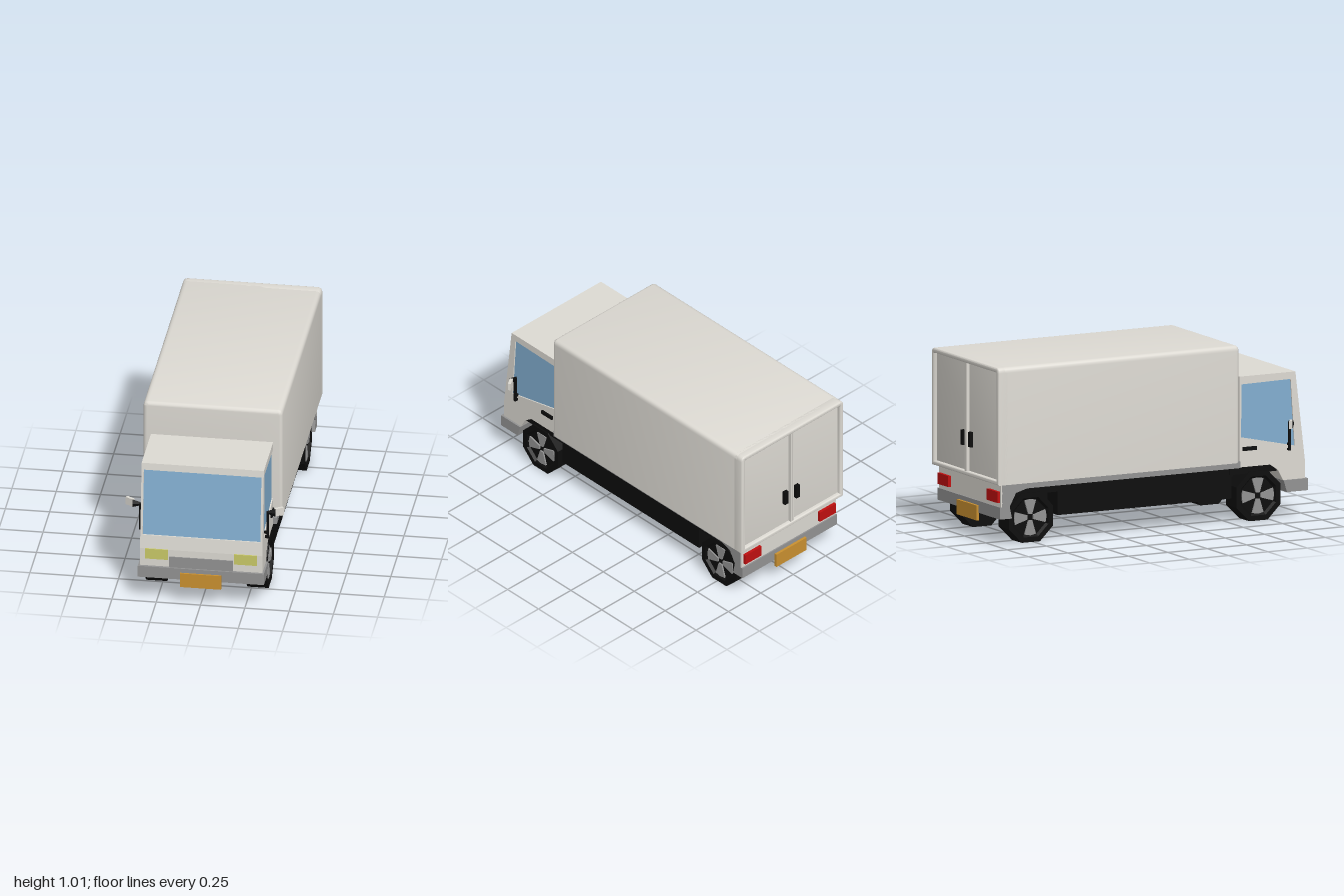
import * as THREE from 'three';
import { toCreasedNormals } from 'three/addons/utils/BufferGeometryUtils.js';

const paint = (color, flatShading = false) => new THREE.MeshStandardMaterial({ color, flatShading });
const mats = {
  body: paint(0xdddad3), grey: paint(0x939393), black: paint(0x0c0c0c, true), glass: paint(0x82aed0),
  yellow: paint(0xc9c968), orange: paint(0xc99030), red: paint(0xc01010),
};

export function createModel() {
  const truck = new THREE.Group();
  truck.name = 'boxTruck';

  const add = (name, geo, mat, parent = truck) => {
    const mesh = new THREE.Mesh(geo, mats[mat]);
    mesh.name = name;
    parent.add(mesh);
    return mesh;
  };
  // Box given by its limits on each axis
  const box = (name, mat, [x0, x1], [y0, y1], [z0, z1], parent) => {
    const mesh = add(name, new THREE.BoxGeometry(x1 - x0, y1 - y0, z1 - z0), mat, parent);
    mesh.position.set((x0 + x1) / 2, (y0 + y1) / 2, (z0 + z1) / 2);
    return mesh;
  };
  const toShape = (pts) => new THREE.Shape(pts.map(([a, b]) => new THREE.Vector2(a, b)));
  // Side profile of (z, y) points, extruded across x from x0 to x1
  const across = (name, mat, pts, x0, x1, hole) => {
    const shape = toShape(pts);
    if (hole) shape.holes.push(toShape(hole));
    const geo = new THREE.ExtrudeGeometry(shape, { depth: x1 - x0, bevelEnabled: false });
    geo.rotateY(-Math.PI / 2).translate(x1, 0, 0);
    return add(name, geo, mat);
  };

  // Cargo box: rounded top corners and softened edges
  const arched = (w, y0, y1, r, T = THREE.Shape) => {
    const s = new T();
    s.moveTo(-w, y0);
    s.lineTo(w, y0);
    s.lineTo(w, y1 - r);
    s.quadraticCurveTo(w, y1, w - r, y1);
    s.lineTo(-w + r, y1);
    s.quadraticCurveTo(-w, y1, -w, y1 - r);
    s.closePath();
    return s;
  };
  const soft = (shape, z0, z1, b) => {
    const geo = new THREE.ExtrudeGeometry(shape, {
      depth: z1 - z0 - 2 * b, bevelThickness: b, bevelSize: b, bevelOffset: -b, bevelSegments: 3, curveSegments: 5,
    });
    geo.translate(0, 0, z0 + b);
    return toCreasedNormals(geo, 0.7);
  };
  add('cargoBox', soft(arched(0.393, 0.345, 1.01, 0.03), -0.975, 0.535, 0.02), 'body');
  const rim = arched(0.393, 0.345, 1.01, 0.03);
  rim.holes.push(arched(0.365, 0.37, 0.982, 0.005, THREE.Path));
  add('rearDoorFrame', soft(rim, -0.997, -0.93, 0.008), 'body');
  for (const s of [-1, 1]) {
    const span = (a, b) => (s > 0 ? [a, b] : [-b, -a]);
    box('doorEdge', 'body', span(0.002, 0.012), [0.36, 0.99], [-0.993, -0.97]);
    box('rearDoorHandle', 'black', span(0.031, 0.057), [0.51, 0.595], [-0.994, -0.97]);
  }

  // Cab: core with a recessed windscreen, closed by framed side panels
  const frontZ = (y) => 0.975 - 0.119 * (y - 0.32);
  const arch = [[0.56, 0.825], [0.56, 0.31], [0.755, 0.31], [0.805, 0.275], [0.84, 0.21], [0.975, 0.21], [0.975, 0.32]];
  across('cabCore', 'body', [
    ...arch, [frontZ(0.4), 0.4], [frontZ(0.4) - 0.014, 0.4], [frontZ(0.785) - 0.014, 0.785],
    [frontZ(0.785), 0.785], [frontZ(0.825), 0.825],
  ], -0.333, 0.333);
  across('windscreen', 'glass', [
    [frontZ(0.4) - 0.03, 0.4], [frontZ(0.4) - 0.008, 0.4],
    [frontZ(0.785) - 0.008, 0.785], [frontZ(0.785) - 0.03, 0.785],
  ], -0.332, 0.332);
  const sideWindow = [[0.885, 0.785], [0.573, 0.78], [0.57, 0.48], [0.91, 0.405]];
  for (const [x0, x1, g0, g1] of [[0.332, 0.345, 0.325, 0.338], [-0.345, -0.332, -0.338, -0.325]]) {
    across('cabSide', 'body', [...arch, [frontZ(0.825), 0.825]], x0, x1, sideWindow);
    across('sideWindow', 'glass', sideWindow, g0, g1);
  }

  // Front bumper, grille and number plate
  across('frontBumper', 'grey', [[0.99, 0.147], [0.99, 0.215], [0.835, 0.215], [0.855, 0.147]], -0.356, 0.356);
  box('grille', 'grey', [-0.18, 0.18], [0.213, 0.28], [0.95, 0.981]);
  box('frontPlate', 'orange', [-0.116, 0.116], [0.105, 0.19], [0.98, 1.0]);

  // Load frame with rear mudguards, rear bumper and plate
  across('loadFrame', 'grey', [
    [0.555, 0.348], [0.555, 0.31], [-0.8, 0.31], [-0.87, 0.29], [-0.91, 0.215], [-0.958, 0.215], [-0.958, 0.348],
  ], -0.365, 0.365);
  across('rearBumper', 'grey', [[-0.972, 0.147], [-0.972, 0.215], [-0.91, 0.215], [-0.895, 0.147]], -0.365, 0.365);
  box('rearPanel', 'body', [-0.365, 0.365], [0.215, 0.347], [-0.964, -0.957]);
  box('rearPlate', 'orange', [-0.116, 0.116], [0.105, 0.19], [-0.987, -0.97]);

  // Underbody: centre spine, skirts between the axles and wheel well liners
  box('chassis', 'black', [-0.215, 0.215], [0.148, 0.312], [-0.93, 0.86]);
  box('skirt', 'black', [-0.335, 0.335], [0.136, 0.312], [-0.59, 0.515]);
  box('frontWellRoof', 'black', [-0.338, 0.338], [0.27, 0.313], [0.5, 0.8]);
  box('rearWellRoof', 'black', [-0.338, 0.338], [0.27, 0.313], [-0.88, -0.58]);

  // Lamps, door handles and mirrors, mirrored on both sides
  for (const s of [-1, 1]) {
    const span = (a, b) => (s > 0 ? [a, b] : [-b, -a]);
    box('headlight', 'yellow', span(0.187, 0.316), [0.26, 0.322], [0.95, 0.982]);
    box('tailLight', 'red', span(0.225, 0.35), [0.24, 0.303], [-0.981, -0.96]);
    box('cabDoorHandle', 'black', span(0.34, 0.356), [0.403, 0.424], [0.58, 0.665]);
    box('mirrorFoot', 'black', span(0.34, 0.366), [0.384, 0.396], [0.863, 0.877]);
    box('mirrorFoot', 'black', span(0.34, 0.366), [0.412, 0.424], [0.863, 0.877]);
    box('mirrorStem', 'black', span(0.354, 0.366), [0.384, 0.545], [0.863, 0.877]);
    const arm = add('mirrorArm', new THREE.CylinderGeometry(0.024, 0.008, 0.05, 4), 'black');
    arm.scale.z = 0.4;
    arm.rotation.z = -s * Math.PI / 2;
    arm.position.set(s * 0.378, 0.542, 0.867);
    const head = add('mirror', new THREE.BoxGeometry(0.052, 0.045, 0.017), 'body');
    head.position.set(s * 0.42, 0.542, 0.846);
    head.rotation.y = s * 0.55;
  }

  // Octagonal wheels with four flared spokes
  const tyre = new THREE.LatheGeometry(
    [[0, -0.06], [0.1515, -0.06], [0.1515, 0.06], [0.12, 0.06], [0.108, 0.045], [0, 0.045]]
      .map(([r, y]) => new THREE.Vector2(r, y)), 8, Math.PI / 8);
  tyre.rotateZ(-Math.PI / 2);
  const spoke = new THREE.ExtrudeGeometry(
    toShape([[-0.012, 0.018], [0.012, 0.018], [0.036, 0.096], [0, 0.103], [-0.036, 0.096]]),
    { depth: 0.012, bevelEnabled: false });
  spoke.rotateY(Math.PI / 2).translate(0.042, 0, 0);
  for (const z of [0.68, -0.765]) {
    for (const s of [-1, 1]) {
      const wheel = new THREE.Group();
      wheel.name = z > 0 ? 'frontWheel' : 'rearWheel';
      add('tyre', tyre, 'black', wheel);
      for (let i = 0; i < 4; i++) add('spoke', spoke, 'grey', wheel).rotation.x = i * Math.PI / 2;
      wheel.position.set(s * 0.286, 0.14, z);
      wheel.rotation.y = s > 0 ? 0 : Math.PI;
      truck.add(wheel);
    }
  }
  return truck;
}
